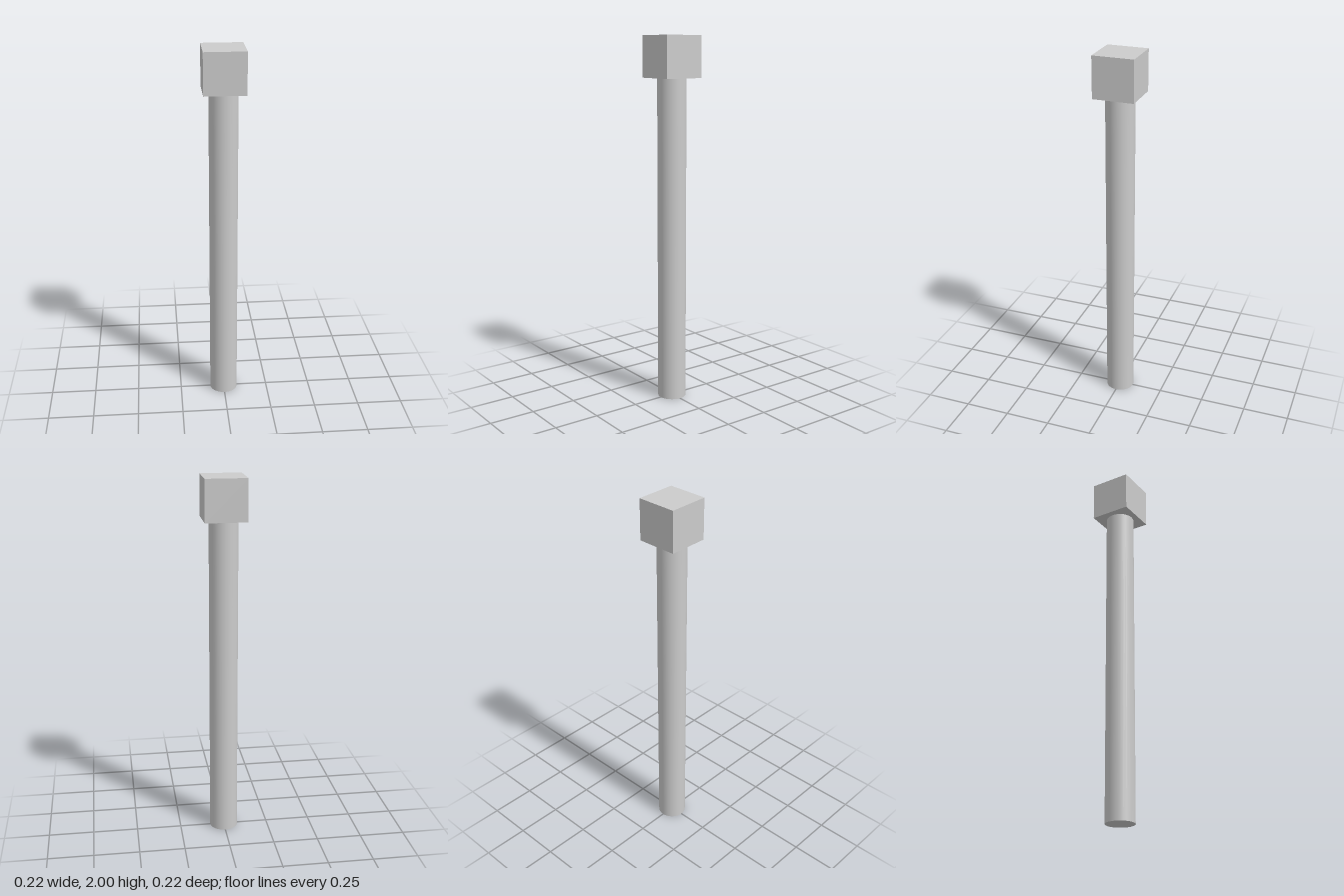
import * as THREE from 'three';

const HEIGHT = 2;
const HEAD = HEIGHT / 9;            // edge of the cube head
const SHAFT_HEIGHT = HEIGHT - HEAD;
const SHAFT_RADIUS = HEAD * 0.35;

export function createModel() {
  const model = new THREE.Group();
  model.name = 'post';
  const material = new THREE.MeshStandardMaterial({ color: 0xcccccc });

  const addPart = (name, geometry, y) => {
    const mesh = new THREE.Mesh(geometry, material);
    mesh.name = name;
    mesh.position.y = y;
    model.add(mesh);
  };

  // Smooth round shaft standing on the ground
  addPart('shaft', new THREE.CylinderGeometry(SHAFT_RADIUS, SHAFT_RADIUS, SHAFT_HEIGHT, 32), SHAFT_HEIGHT / 2);

  // Cube head resting on the shaft
  addPart('head', new THREE.BoxGeometry(HEAD, HEAD, HEAD), HEIGHT - HEAD / 2);

  return model;
}
